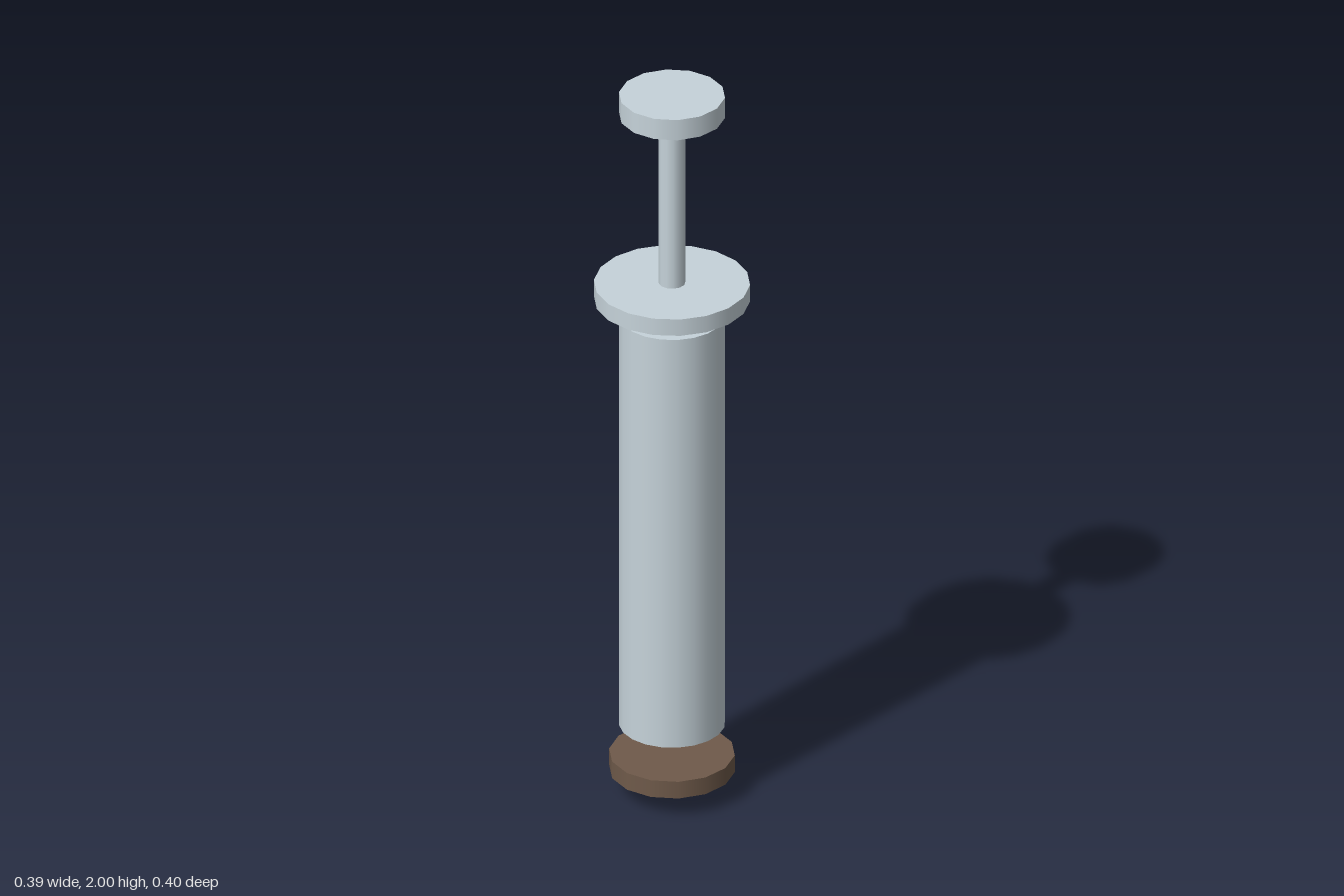
import * as THREE from 'three';

export function createModel() {
  const model = new THREE.Group();

  const paleSteel = new THREE.MeshStandardMaterial({ color: 0xc6d3da });
  paleSteel.name = 'pale steel';
  const darkBrown = new THREE.MeshStandardMaterial({ color: 0x6f5a4a });
  darkBrown.name = 'dark brown';

  // Upright closed cylinder between two heights
  function addDisc(name, radius, bottom, top, sides, material) {
    const mesh = new THREE.Mesh(
      new THREE.CylinderGeometry(radius, radius, top - bottom, sides),
      material
    );
    mesh.position.y = (bottom + top) / 2;
    mesh.name = name;
    model.add(mesh);
  }

  // Plunger: thumb pad above a slim rod
  addDisc('thumbPad', 0.135, 1.942, 2, 14, paleSteel);
  addDisc('plungerRod', 0.034, 1.43, 1.932, 12, paleSteel);

  // Finger flange floating over the barrel
  addDisc('fingerFlange', 0.198, 1.413, 1.46, 18, paleSteel);
  addDisc('barrel', 0.135, 0.193, 1.367, 20, paleSteel);

  // Brown end cap and the tiny tip under it
  addDisc('endCap', 0.16, 0.06, 0.108, 14, darkBrown);
  addDisc('tip', 0.008, 0, 0.016, 8, paleSteel);

  return model;
}
